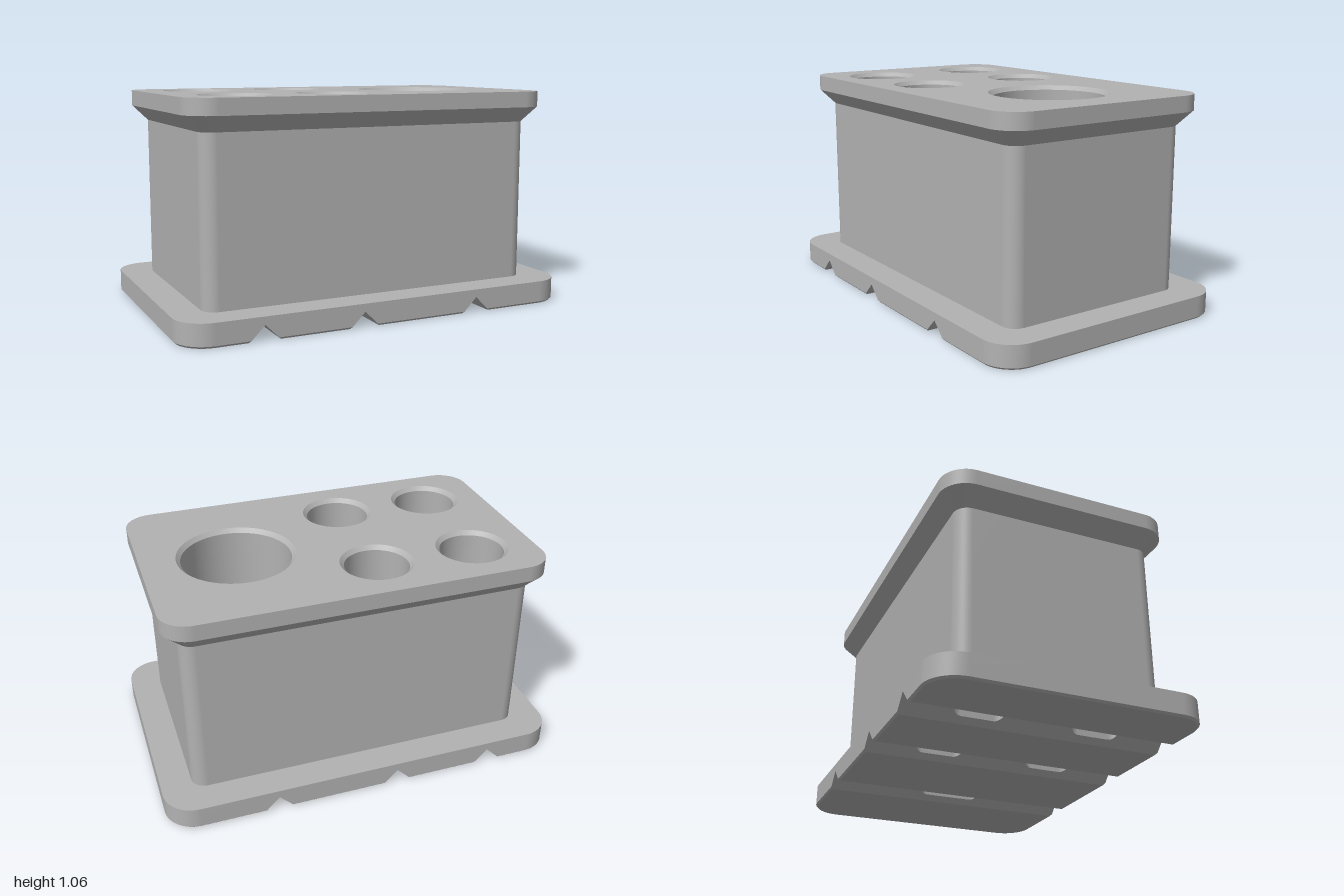
import * as THREE from 'three';

const EPS = 1e-6;
const BASE_TOP = 0.113, BODY_TOP = 0.908, RIM_LOW = 0.983, TOP = 1.06, FLOOR = 0.15;
const BEVEL = 0.01, GROOVE = 0.075;
const GROOVES = [-0.625, -0.135, 0.47];

// Height of the underside: zero, rising to a ridge over each V groove
const underside = (x) => Math.max(0, ...GROOVES.map((g) => GROOVE - Math.abs(x - g)));

// Rounded rectangle in plan (x, z); extra x positions are inserted on front and back edges
function loop(hw, hd, r, { cx = 0, cz = 0, seg = 14, extra = [] } = {}) {
  const pts = [];
  const signs = [[1, 1], [-1, 1], [-1, -1], [1, -1]];
  signs.forEach(([sx, sz], q) => {
    for (let i = 0; i <= seg; i++) {
      const a = (q + i / seg) * Math.PI / 2;
      pts.push(new THREE.Vector2(cx + sx * (hw - r) + r * Math.cos(a), cz + sz * (hd - r) + r * Math.sin(a)));
    }
    if (q === 0) [...extra].reverse().forEach((x) => pts.push(new THREE.Vector2(x, cz + hd)));
    if (q === 2) extra.forEach((x) => pts.push(new THREE.Vector2(x, cz - hd)));
  });
  return pts.filter((p, i) => p.distanceTo(pts[(i + pts.length - 1) % pts.length]) > EPS);
}

const height = (y, x) => (typeof y === 'function' ? y(x) : y);

// Closed band between two loops of equal length; lower first faces outward, upper first faces inward
function band(a, ya, b, yb) {
  const pos = [], index = [], n = a.length;
  for (let i = 0; i < n; i++) {
    pos.push(a[i].x, height(ya, a[i].x), a[i].y, b[i].x, height(yb, b[i].x), b[i].y);
    const p = 2 * i, q = 2 * ((i + 1) % n);
    index.push(p, p + 1, q, q, p + 1, q + 1);
  }
  const geo = new THREE.BufferGeometry();
  geo.setAttribute('position', new THREE.Float32BufferAttribute(pos, 3));
  geo.setIndex(index);
  geo.computeVertexNormals();
  return geo;
}

// Filled outline with holes, facing up or down, at a fixed height or one following x
function cap(points, holes, y, up) {
  const s = up ? -1 : 1;
  const flip = (list) => list.map((p) => new THREE.Vector2(p.x, s * p.y));
  const shape = new THREE.Shape(flip(points));
  holes.forEach((h) => shape.holes.push(new THREE.Path(flip(h))));
  const geo = new THREE.ShapeGeometry(shape);
  const pos = geo.attributes.position;
  for (let i = 0; i < pos.count; i++) {
    pos.setXYZ(i, pos.getX(i), height(y, pos.getX(i)), s * pos.getY(i));
  }
  geo.computeVertexNormals();
  return geo;
}

export function createModel() {
  const model = new THREE.Group();
  model.name = 'holder';
  const grey = new THREE.MeshStandardMaterial({ color: 0xb2b2b2 });
  grey.name = 'grey';
  const add = (name, geo, parent = model) => {
    const mesh = new THREE.Mesh(geo, grey);
    mesh.name = name;
    parent.add(mesh);
  };

  // Outer shell: base ledge, body, flare and rim
  const base = loop(1, 0.64, 0.15);
  const body = loop(0.85, 0.49, 0.07);
  const rim = loop(0.925, 0.565, 0.135);
  add('baseLedge', band(base, BASE_TOP, body, BASE_TOP));
  add('bodyWall', band(body, BASE_TOP, body, BODY_TOP));
  add('flare', band(body, BODY_TOP, rim, RIM_LOW));
  add('rimWall', band(rim, RIM_LOW, rim, TOP));

  // Base wall, notched where the grooves run out, with a small bevel below
  const extra = GROOVES.flatMap((g) => [-GROOVE, BEVEL - GROOVE, 0, GROOVE - BEVEL, GROOVE].map((d) => g + d));
  const edge = loop(1, 0.64, 0.15, { extra });
  const inset = loop(1 - BEVEL, 0.64 - BEVEL, 0.15 - BEVEL, { extra });
  const foot = inset.map((p, i) => p.clone().lerp(edge[i], Math.min(1, underside(p.x) / BEVEL)));
  const bevelTop = (x) => Math.max(BEVEL, underside(x));
  add('baseWall', band(edge, bevelTop, edge, BASE_TOP));
  add('baseBevel', band(foot, underside, edge, bevelTop));

  // Round pockets, each with a chamfered mouth and a slot through its floor
  const pockets = [];
  for (const x of [-0.625, -0.135]) {
    for (const z of [-0.285, 0.285]) pockets.push({ x, z, r: 0.155, slot: 0.125 });
  }
  pockets.push({ x: 0.47, z: 0, r: 0.265, slot: 0.17 });
  const mouths = [], slots = [];
  for (const { x, z, r, slot } of pockets) {
    const at = { cx: x, cz: z };
    const mouth = loop(r + 0.02, r + 0.02, r + 0.02, at);
    const bore = loop(r, r, r, at);
    const slit = loop(0.048, slot, 0.048, { ...at, seg: 8 });
    const pocket = new THREE.Group();
    pocket.name = 'pocket';
    model.add(pocket);
    add('mouthChamfer', band(mouth, TOP, bore, TOP - 0.02), pocket);
    add('pocketWall', band(bore, TOP - 0.02, bore, FLOOR), pocket);
    add('pocketFloor', cap(bore, [slit], FLOOR, true), pocket);
    add('slotWall', band(slit, FLOOR, slit, underside), pocket);
    mouths.push(mouth);
    slots.push({ x, slit });
  }
  add('topPlate', cap(rim, mouths, TOP, true));

  // Underside in strips
  const strip = (x1, x2) => foot.filter((p) => p.x > x1 - EPS && p.x < x2 + EPS);
  const ends = [-1, ...GROOVES.flatMap((g) => [g - GROOVE, g + GROOVE]), 1];
  for (let i = 0; i < ends.length; i += 2) {
    add('footPad', cap(strip(ends[i], ends[i + 1]), [], 0, false));
  }
  // Sloping groove sides, cut along the ridge by half of each slot
  for (const g of GROOVES) {
    for (const side of [-1, 1]) {
      const pts = strip(Math.min(g, g + side * GROOVE), Math.max(g, g + side * GROOVE));
      const cut = slots.filter((s) => s.x === g).flatMap((s) => s.slit)
        .filter((p) => side * (p.x - g) > -EPS).sort((a, b) => a.y - b.y);
      if (side < 0) pts.push(...cut);
      else pts.splice(pts.length / 2, 0, ...cut.reverse());
      add('grooveSide', cap(pts, [], underside, false));
    }
  }
  return model;
}
